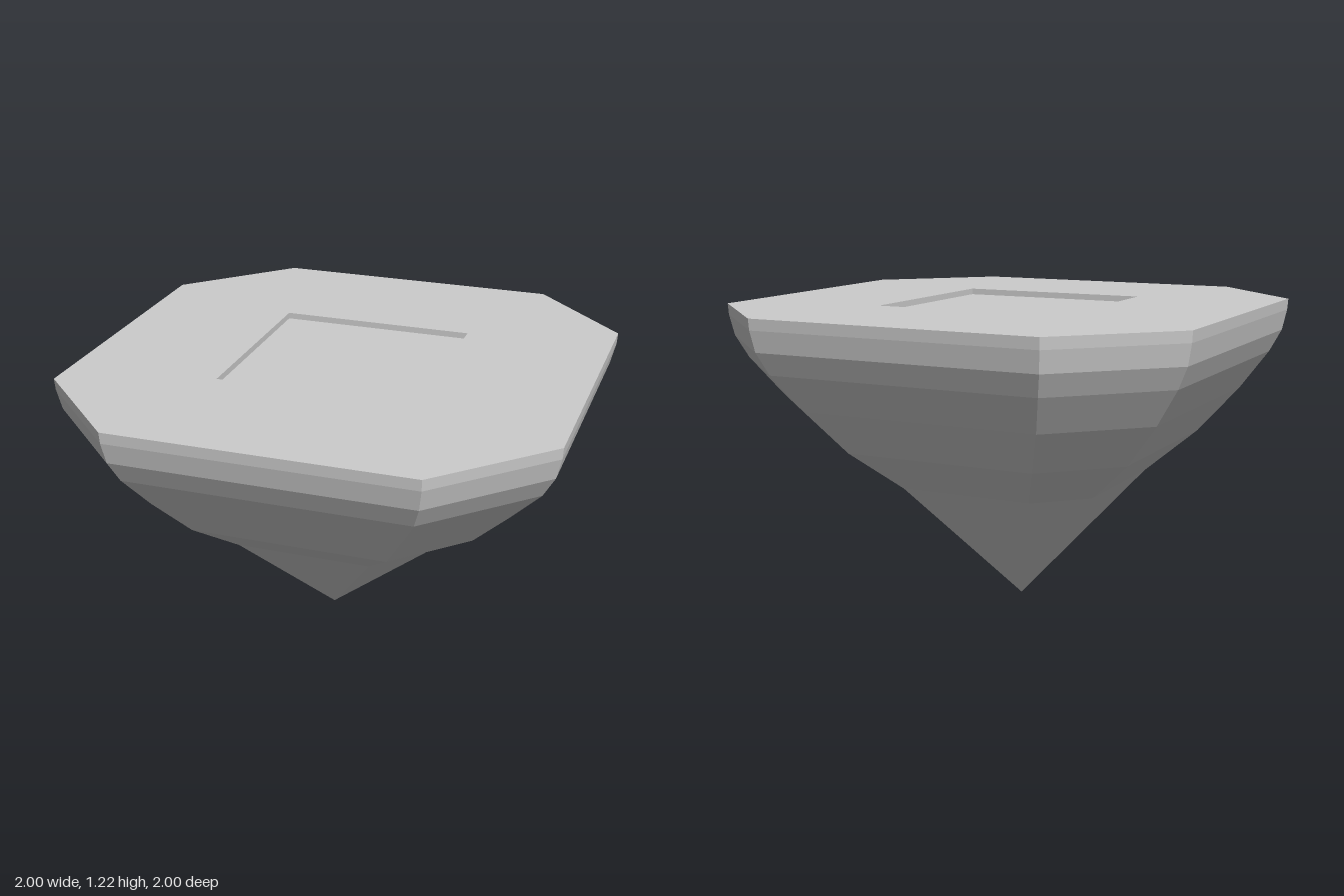
import * as THREE from 'three';

const TOP = 1.22, PIT = 0.4, PIT_DEPTH = 0.025;

// chamfered square outline and plain square outline, as [x, z] of unit half width
const OCTAGON = [[1, -0.6], [1, 0.6], [0.6, 1], [-0.6, 1], [-1, 0.6], [-1, -0.6], [-0.6, -1], [0.6, -1]];
const SQUARE = [[1, -1], [1, 1], [-1, 1], [-1, -1]];

// skin between scaled copies of an outline; levels are [y, half width, sideways shift]
function loft(outline, levels) {
  const pos = [];
  const point = ([y, r, shift], i) => {
    const [x, z] = outline[i % outline.length];
    return [x * r + shift, y, z * r + shift];
  };
  for (let l = 0; l < levels.length - 1; l++) {
    for (let i = 0; i < outline.length; i++) {
      const a = point(levels[l], i), b = point(levels[l], i + 1);
      const c = point(levels[l + 1], i + 1), d = point(levels[l + 1], i);
      if (levels[l][1] > 0) pos.push(...a, ...d, ...b);
      pos.push(...b, ...d, ...c);
    }
  }
  const geometry = new THREE.BufferGeometry();
  geometry.setAttribute('position', new THREE.Float32BufferAttribute(pos, 3));
  geometry.computeVertexNormals();
  return geometry;
}

const toVectors = (outline, r) => outline.map(([x, z]) => new THREE.Vector2(x * r, -z * r));

export function createModel() {
  const group = new THREE.Group();
  const material = new THREE.MeshStandardMaterial({ color: 0xcccccc, flatShading: true });
  const add = (name, geometry, y = 0) => {
    const mesh = new THREE.Mesh(geometry, material);
    mesh.name = name;
    mesh.position.y = y;
    group.add(mesh);
  };

  // tapering underside, drifting towards an off-centre tip
  add('rockUnderside', loft(OCTAGON, [
    [0, 0, -0.088],
    [0.505, 0.463, -0.047],
    [0.67, 0.665, -0.028],
    [0.85, 0.82, -0.02],
    [1.0, 0.933, -0.005],
    [1.09, 0.979, -0.002],
    [1.175, 0.997, 0],
    [TOP, 1, 0],
  ]));

  // flat top with a square opening
  const top = new THREE.Shape(toVectors(OCTAGON, 1));
  top.holes.push(new THREE.Path(toVectors(SQUARE, PIT)));
  add('topSurface', new THREE.ShapeGeometry(top).rotateX(-Math.PI / 2), TOP);

  // shallow square recess
  add('recessWalls', loft([...SQUARE].reverse(), [[TOP - PIT_DEPTH, PIT, 0], [TOP, PIT, 0]]));
  add('recessFloor', new THREE.PlaneGeometry(PIT * 2, PIT * 2).rotateX(-Math.PI / 2), TOP - PIT_DEPTH);

  return group;
}
